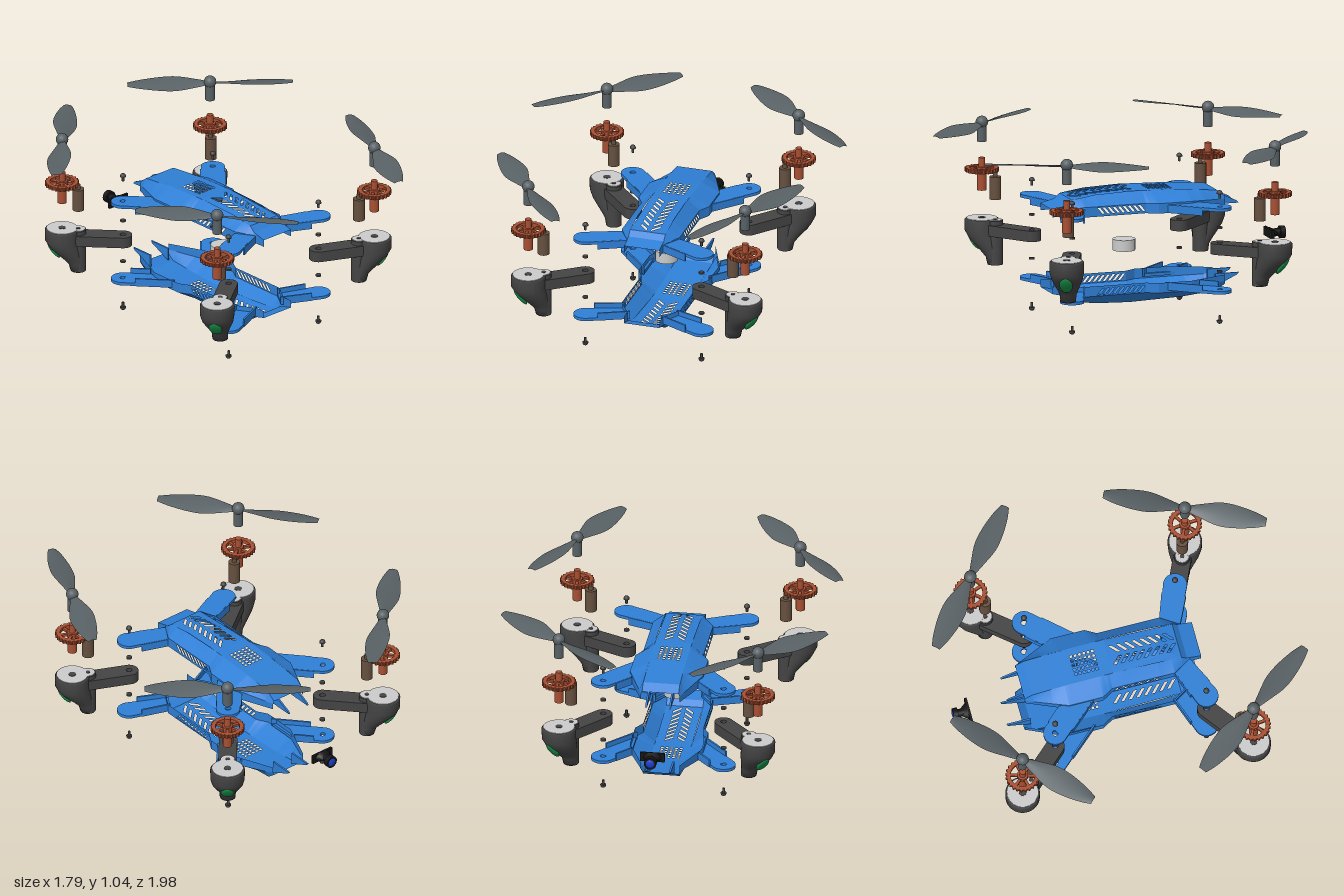
import * as THREE from 'three';

const mat = (color, side = THREE.FrontSide) => new THREE.MeshStandardMaterial({ color, side });
const M = {
  blue: mat(0x2f7fd6, THREE.DoubleSide), dark: mat(0x444444), blade: mat(0x586165, THREE.DoubleSide),
  gear: mat(0xa84f32), motor: mat(0x66503f), grey: mat(0xcccccc), black: mat(0x151515),
  green: mat(0x189048), lens: mat(0x1a3fd0),
};

function add(parent, name, geo, material, x = 0, y = 0, z = 0) {
  const m = new THREE.Mesh(geo, material);
  m.name = name;
  m.position.set(x, y, z);
  parent.add(m);
  return m;
}
const cyl = (r, h, n = 24, r2 = r) => new THREE.CylinderGeometry(r, r2, h, n);
// upright cylinder between two heights
const post = (p, name, r, y0, y1, material, x = 0, z = 0) => add(p, name, cyl(r, y1 - y0), material, x, (y0 + y1) / 2, z);
const poly = pts => new THREE.Shape(pts.map(p => new THREE.Vector2(...p)));
// horizontal plate: shape (x, z), resting on y = 0
const plate = (shape, h) => new THREE.ExtrudeGeometry(shape, { depth: h, bevelEnabled: false, curveSegments: 20 })
  .rotateX(Math.PI / 2).translate(0, h, 0);
const circleHole = (x, y, r) => new THREE.Path().absarc(x, y, r, 0, Math.PI * 2, true);
// linear interpolation in a [position, value] table
function at(table, t) {
  for (let i = 1; i < table.length; i++) {
    const [a, va] = table[i - 1], [b, vb] = table[i];
    if (t <= b) return va + (vb - va) * Math.max(0, (t - a) / (b - a));
  }
  return table[table.length - 1][1];
}

// ---- body shell: profiles along z, base plane at y = 0 ----
const CREST = 0.1;
const TOP = [[-0.545, 0.05], [-0.5, 0.085], [-0.3, 0.105], [0, 0.115], [0.2, 0.108], [0.335, 0.088], [0.365, 0.06], [0.445, 0.04]];
const WIDTH = [[-0.545, 0.105], [-0.32, 0.2], [-0.13, 0.2], [-0.07, 0.165], [0.28, 0.165], [0.385, 0.1], [0.445, 0.1]];
const SHOULDER = [[-0.545, 0.035], [-0.32, 0.055], [0.28, 0.055], [0.385, 0.045], [0.445, 0.035]];

// flat shape with holes, each vertex carried onto the shell by a rule
function panel(parent, name, outline, holes, rule) {
  const shape = poly(outline);
  holes.forEach(h => shape.holes.push(new THREE.Path(h.map(p => new THREE.Vector2(...p)))));
  const geo = new THREE.ShapeGeometry(shape), p = geo.attributes.position;
  for (let i = 0; i < p.count; i++) p.setXYZ(i, ...rule(p.getX(i), p.getY(i)));
  geo.computeVertexNormals();
  add(parent, name, geo, M.blue);
}

function lug(parent, side, [cx, cz], inner, outer, from) {
  const th = Math.atan2(cz - from[1], cx - from[0]), r = 0.065;
  const end = a => [cx + r * Math.cos(a), cz + r * Math.sin(a)];
  const shape = new THREE.Shape();
  shape.moveTo(...inner);
  shape.lineTo(...end(th - Math.PI / 2));
  shape.absarc(cx, cz, r, th - Math.PI / 2, th + Math.PI / 2, false);
  shape.lineTo(...outer);
  shape.closePath();
  shape.holes.push(circleHole(cx, cz, 0.016));
  const g = new THREE.Group();
  g.name = 'armMount';
  g.scale.x = side;
  add(g, 'mountPlate', plate(shape, 0.017), M.blue, 0, 0.028, 0);
  // stiffening walls along both edges
  [[inner, end(th - Math.PI / 2)], [outer, end(th + Math.PI / 2)]].forEach(([a, b]) => {
    const dx = (b[0] - a[0]) * 0.75, dz = (b[1] - a[1]) * 0.75;
    const w = add(g, 'mountRim', new THREE.BoxGeometry(Math.hypot(dx, dz), 0.044, 0.01), M.blue, a[0] + dx / 2, 0.022, a[1] + dz / 2);
    w.rotation.y = -Math.atan2(dz, dx);
  });
  parent.add(g);
}

function makeShell(name) {
  const g = new THREE.Group();
  g.name = name;
  // crest strip with vent chevrons and a grid of small holes
  const zs = [-0.545, -0.5, -0.4, -0.27, -0.1, -0.05, 0.335, 0.365, 0.445];
  for (let i = 1; i < zs.length; i++) {
    const holes = [];
    if (zs[i] === -0.1) for (let c = -2; c <= 2; c++) for (let r = 0; r < 6; r++) {
      const x = c * 0.026, z = -0.245 + r * 0.024, d = 0.007;
      holes.push([[x - d, z - d], [x + d, z - d], [x + d, z + d], [x - d, z + d]]);
    }
    if (zs[i] === 0.335) for (let k = 0; k < 8; k++) for (const s of [-1, 1]) {
      const z = -0.035 + k * 0.043;
      holes.push([[s * 0.055, z], [s * 0.055, z + 0.018], [s * 0.012, z + 0.058], [s * 0.012, z + 0.04]]);
    }
    const [a, b] = [zs[i - 1], zs[i]];
    panel(g, 'crest', [[-CREST, a], [CREST, a], [CREST, b], [-CREST, b]], holes, (x, z) => [x, at(TOP, z), z]);
  }
  const all = [...new Set([...TOP, ...WIDTH, ...zs.map(z => [z])].map(p => p[0]))].sort((a, b) => a - b);
  for (const s of [-1, 1]) {
    // side walls with slanted slots
    for (let i = 1; i < WIDTH.length; i++) {
      const a = WIDTH[i - 1][0], b = WIDTH[i][0], holes = [];
      if (b === 0.28) for (let k = 0; k < 9; k++) {
        const z = -0.065 + k * 0.029;
        holes.push([[z, 0.014], [z + 0.014, 0.014], [z + 0.042, 0.048], [z + 0.028, 0.048]]);
      }
      panel(g, 'sideWall', [[a, 0], [b, 0], [b, at(SHOULDER, b)], [a, at(SHOULDER, a)]], holes, (z, y) => [s * at(WIDTH, z), y, z]);
    }
    // sloping shoulder between wall and crest
    for (let i = 1; i < all.length; i++) {
      panel(g, 'shoulder', [[0, all[i - 1]], [1, all[i - 1]], [1, all[i]], [0, all[i]]], [], (t, z) => [
        s * THREE.MathUtils.lerp(at(WIDTH, z), CREST, t), THREE.MathUtils.lerp(at(SHOULDER, z), at(TOP, z), t), z]);
    }
    lug(g, s, [0.33, 0.413], [0.15, 0.28], [0.09, 0.37], [0.13, 0.325]);
    lug(g, s, [0.33, -0.434], [0.185, -0.37], [0.185, -0.175], [0.19, -0.28]);
    // tail prongs
    const fin = new THREE.ExtrudeGeometry(poly([[0.5, 0], [0.635, 0], [0.625, 0.012], [0.5, 0.07]]), { depth: 0.01, bevelEnabled: false });
    add(g, 'tailProng', fin.rotateY(Math.PI / 2), M.blue, s * 0.065 - 0.005, 0, 0);
  }
  return g;
}

// ---- propeller, with blades along local x ----
function makePropeller(spin) {
  const g = new THREE.Group();
  g.name = 'propeller';
  post(g, 'propellerShaft', 0.026, 0.9, 1.0, M.blade);
  add(g, 'propellerHub', new THREE.SphereGeometry(0.034, 20, 14), M.blade, 0, 1.006, 0);
  const W = new THREE.SplineCurve([[0, 0.016], [0.15, 0.036], [0.4, 0.064], [0.62, 0.062], [0.85, 0.044], [1, 0.023]].map(p => new THREE.Vector2(...p)));
  for (const k of [0, 1]) {
    const geo = new THREE.PlaneGeometry(1, 2, 24, 8), p = geo.attributes.position;
    for (let i = 0; i < p.count; i++) {
      const q = W.getPoint(p.getX(i) + 0.5), v = p.getY(i), tilt = 0.34 - 0.24 * q.x;
      p.setXYZ(i, 0.015 + 0.434 * q.x, 0.998 + spin * v * q.y * Math.sin(tilt) + 0.006 * (1 - v * v), -v * q.y * Math.cos(tilt));
    }
    geo.computeVertexNormals();
    add(g, 'blade', geo, M.blade).rotation.y = k * Math.PI;
  }
  return g;
}

// ---- gear and motor; local +x points inward along the arm ----
const MOTOR = 0.088;
function makeDrive() {
  const g = new THREE.Group();
  g.name = 'drive';
  const teeth = [];
  for (let i = 0; i < 96; i++) {
    const r = i % 4 < 2 ? 0.093 : 0.086, a = i * Math.PI / 48;
    teeth.push([r * Math.cos(a), r * Math.sin(a)]);
  }
  const ring = poly(teeth);
  ring.holes.push(circleHole(0, 0, 0.066));
  add(g, 'gearRing', plate(ring, 0.022), M.gear, 0, 0.734, 0);
  for (let i = 0; i < 3; i++) add(g, 'gearSpoke', new THREE.BoxGeometry(0.14, 0.014, 0.016), M.gear, 0, 0.745, 0).rotation.y = i * Math.PI / 3;
  post(g, 'gearHub', 0.03, 0.732, 0.76, M.gear);
  post(g, 'gearShaft', 0.018, 0.63, 0.81, M.gear);
  post(g, 'gearSleeve', 0.025, 0.63, 0.735, M.gear);
  post(g, 'motor', 0.032, 0.59, 0.715, M.motor, MOTOR);
  post(g, 'pinion', 0.013, 0.715, 0.74, M.motor, MOTOR);
  return g;
}

// ---- arm with motor pod ----
function makeArm(L) {
  const g = new THREE.Group();
  g.name = 'arm';
  const bar = new THREE.Shape();
  bar.moveTo(0.03, -0.05);
  bar.lineTo(L, -0.05);
  bar.absarc(L, 0, 0.05, -Math.PI / 2, Math.PI / 2, false);
  bar.lineTo(0.03, 0.05);
  bar.holes.push(circleHole(L, 0, 0.016));
  add(g, 'armBar', plate(bar, 0.06), M.dark, 0, 0.39, 0);
  // pod turned as a lathe, then leaned towards the motor column
  const prof = [[0, 0.23], [0.042, 0.23], [0.045, 0.27], [0.056, 0.3], [0.071, 0.335], [0.085, 0.37], [0.093, 0.41], [0.094, 0.468], [0.088, 0.475], [0, 0.475]];
  const geo = new THREE.LatheGeometry(prof.map(p => new THREE.Vector2(...p)), 40), p = geo.attributes.position;
  const lean = [[0.23, MOTOR], [0.27, 0.08], [0.3, 0.062], [0.335, 0.038], [0.37, 0.016], [0.41, 0]];
  for (let i = 0; i < p.count; i++) p.setX(i, p.getX(i) + at(lean, p.getY(i)));
  geo.computeVertexNormals();
  add(g, 'pod', geo, M.dark);
  post(g, 'motorColumn', 0.043, 0.232, 0.474, M.dark, MOTOR);
  post(g, 'podCap', 0.084, 0.47, 0.478, M.grey);
  post(g, 'motorCap', 0.036, 0.47, 0.477, M.grey, MOTOR);
  post(g, 'shaftSocket', 0.02, 0.47, 0.48, M.dark);
  post(g, 'motorSocket', 0.012, 0.47, 0.48, M.dark, MOTOR);
  const light = add(g, 'podLight', new THREE.SphereGeometry(1, 24, 16), M.green, -0.045, 0.347, 0);
  light.scale.set(0.014, 0.056, 0.036);
  light.rotation.z = 0.65;
  return g;
}

// screw with its head up, head top at y = 0
function makeScrew() {
  const g = new THREE.Group();
  g.name = 'screw';
  const head = new THREE.SphereGeometry(0.016, 16, 8, 0, Math.PI * 2, 0, Math.PI / 2);
  add(g, 'screwHead', head, M.dark, 0, -0.016, 0);
  post(g, 'screwCollar', 0.016, -0.02, -0.016, M.dark);
  post(g, 'screwShank', 0.007, -0.046, -0.018, M.dark);
  return g;
}

function makeCamera() {
  const g = new THREE.Group();
  g.name = 'camera';
  add(g, 'cameraBase', new THREE.BoxGeometry(0.135, 0.05, 0.014), M.black, 0, 0, 0.045);
  add(g, 'cameraCone', cyl(0.022, 0.035, 24, 0.05).rotateX(-Math.PI / 2), M.black, 0, 0, 0.022).scale.y = 0.6;
  add(g, 'cameraNeck', cyl(0.022, 0.05).rotateX(Math.PI / 2), M.black);
  add(g, 'cameraBarrel', cyl(0.034, 0.028).rotateX(Math.PI / 2), M.black, 0, 0, -0.028);
  add(g, 'cameraLens', new THREE.SphereGeometry(0.027, 20, 12), M.lens, 0, 0, -0.036).scale.z = 0.45;
  g.position.set(0, 0.41, -0.878);
  return g;
}

export function createModel() {
  const model = new THREE.Group();
  model.name = 'explodedDrone';

  const top = makeShell('topShell'), bottom = makeShell('bottomShell');
  top.position.y = 0.605;
  bottom.position.y = 0.22;
  bottom.rotation.z = Math.PI;
  model.add(top, bottom, makeCamera());
  post(model, 'centreModule', 0.062, 0.375, 0.437, M.grey);

  // corners: rotor x, z; screw x, z; blade direction x, z; spin; top screw height
  const corners = [
    [-0.555, -0.677, -0.33, -0.434, 0.665, -0.63, 1, 0.815],
    [0.535, -0.68, 0.33, -0.434, 0.7, 0.58, -1, 0.74],
    [-0.593, 0.608, -0.33, 0.413, 0.545, 0.725, -1, 0.74],
    [0.62, 0.545, 0.33, 0.413, -0.386, 0.82, 1, 0.74],
  ];
  for (const [x, z, sx, sz, bx, bz, spin, sy] of corners) {
    const unit = new THREE.Group();
    unit.name = 'rotorUnit';
    unit.position.set(x, 0, z);
    unit.rotation.y = -Math.atan2(sz - z, sx - x);
    unit.add(makeDrive(), makeArm(Math.hypot(sx - x, sz - z)));
    const prop = makePropeller(spin);
    prop.position.set(x, 0, z);
    prop.rotation.y = -Math.atan2(bz, bx);
    model.add(unit, prop);

    const upper = makeScrew(), lower = makeScrew();
    upper.position.set(sx, sy, sz);
    lower.position.set(sx, 0, sz);
    lower.rotation.x = Math.PI;
    model.add(upper, lower);
    for (const y of [0.29, 0.533]) post(model, 'washer', 0.015, y - 0.005, y + 0.005, M.dark, sx, sz);
  }
  return model;
}
